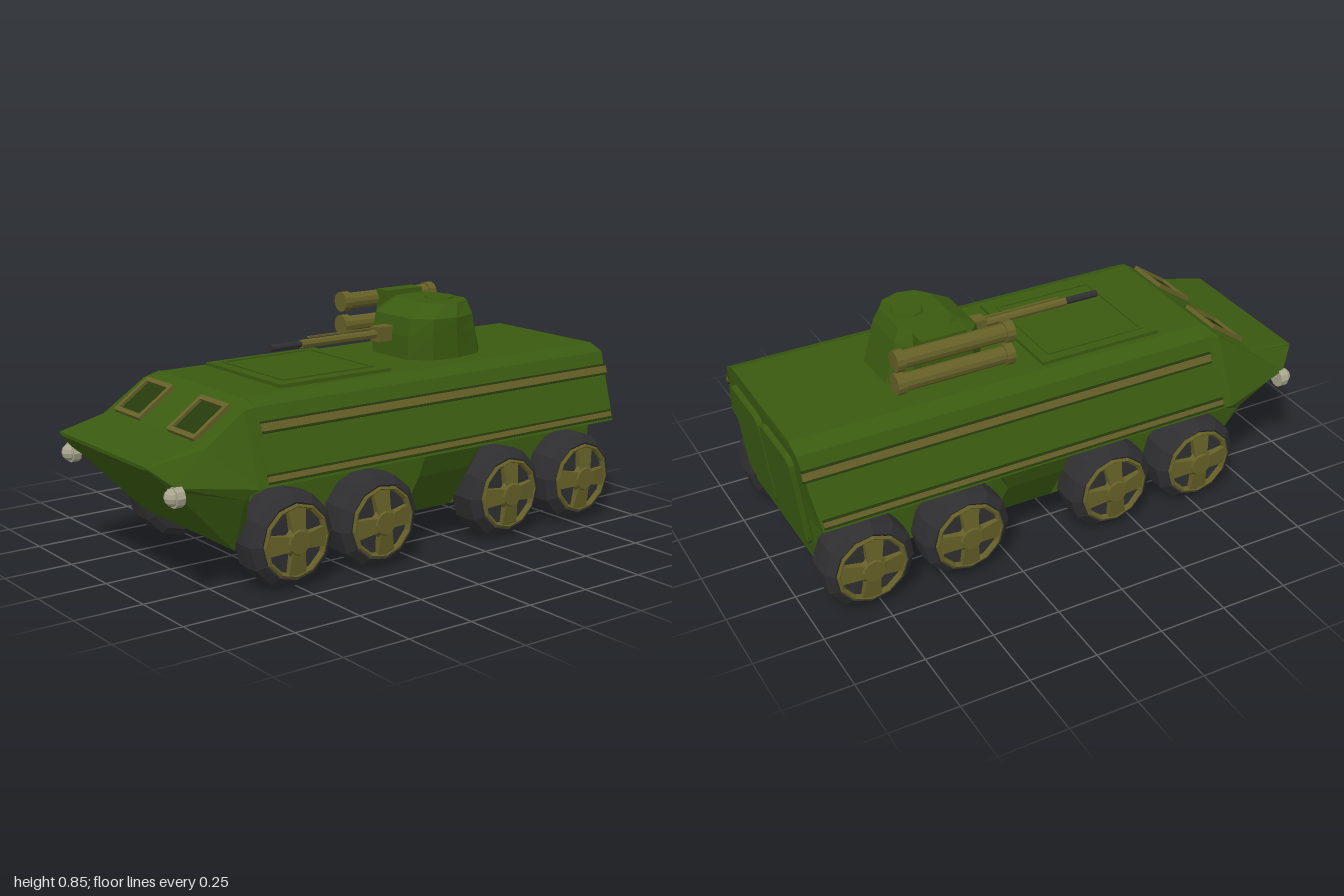
import * as THREE from 'three';

const mat = (color) => new THREE.MeshStandardMaterial({ color, flatShading: true });
const GREEN = mat(0x3a5a10), DARKGREEN = mat(0x263a0c), OLIVE = mat(0x655f27), RUBBER = mat(0x2f2f31), LAMP = mat(0xa9a68e);

function add(parent, name, geo, material, x = 0, y = 0, z = 0) {
  const m = new THREE.Mesh(geo, material);
  m.name = name;
  m.position.set(x, y, z);
  parent.add(m);
  return m;
}

const box = (w, h, d) => new THREE.BoxGeometry(w, h, d);
const tubeX = (r0, r1, len, n = 12) => new THREE.CylinderGeometry(r0, r1, len, n).rotateZ(Math.PI / 2);

// Skin a stack of rings; each ring runs counter-clockwise seen from the end of the stack
function loft(rings) {
  const n = rings[0].length, idx = [];
  for (let i = 0; i < rings.length - 1; i++) {
    for (let j = 0; j < n; j++) {
      const k = (j + 1) % n, a = i * n + j, b = i * n + k;
      idx.push(a, b, b + n, a, b + n, a + n);
    }
  }
  const last = (rings.length - 1) * n;
  for (let j = 1; j < n - 1; j++) {
    idx.push(last, last + j, last + j + 1, 0, j + 1, j);
  }
  const g = new THREE.BufferGeometry();
  g.setAttribute('position', new THREE.Float32BufferAttribute(rings.flat(2), 3));
  g.setIndex(idx);
  const flat = g.toNonIndexed();
  flat.computeVertexNormals();
  return flat;
}

function roundedRect(w, h, r) {
  const s = new THREE.Shape(), x = w / 2, y = h / 2;
  s.moveTo(-x + r, -y).lineTo(x - r, -y).quadraticCurveTo(x, -y, x, -y + r);
  s.lineTo(x, y - r).quadraticCurveTo(x, y, x - r, y);
  s.lineTo(-x + r, y).quadraticCurveTo(-x, y, -x, y - r);
  s.lineTo(-x, -y + r).quadraticCurveTo(-x, -y, -x + r, -y);
  return s;
}

function frameGeometry(w, h, t, depth) {
  const s = roundedRect(w, h, 0.004);
  s.holes.push(roundedRect(w - 2 * t, h - 2 * t, 0.004));
  return new THREE.ExtrudeGeometry(s, { depth, bevelEnabled: false, curveSegments: 2 });
}

// Hull sections from nose to tail: roof, shoulder, widest edge, arch, bottom
function makeHull() {
  const half = [
    [[-1, .465, .29], [-1, .463, .30], [-1, .46, .30], [-1, .455, .29], [-1, .453, .28]],
    [[-.8, .51, .30], [-.8, .50, .325], [-.93, .40, .36], [-.93, .385, .34], [-.93, .38, .28]],
    [[-.62, .635, .27], [-.65, .605, .325], [-.66, .365, .425], [-.70, .33, .40], [-.68, .13, .30]],
    [[-.60, .635, .26], [-.60, .61, .32], [-.62, .365, .425], [-.62, .34, .30], [-.62, .13, .30]],
    [[.98, .635, .26], [.98, .61, .32], [.945, .365, .425], [.945, .34, .30], [.92, .13, .30]],
  ];
  return loft(half.map((h) => [...h, ...h.slice().reverse().map(([x, y, z]) => [x, y, -z])]));
}

function makeWheel() {
  const g = new THREE.Group();
  const profile = [[0, .29], [.14, .29], [.165, .305], [.168, .36], [.165, .405], [.135, .43], [.122, .42], [0, .42]];
  const tire = new THREE.LatheGeometry(profile.map(([r, z]) => new THREE.Vector2(r, z)), 12).rotateX(Math.PI / 2);
  add(g, 'tire', tire, mat(0x2f2f31)).material.side = THREE.DoubleSide;

  // Thin rim and flared four-arm hub
  const rim = new THREE.LatheGeometry(
    [[.122, .415], [.13, .432], [.122, .438], [.113, .432], [.113, .415]].map(([r, z]) => new THREE.Vector2(r, z)), 12
  ).rotateX(Math.PI / 2);
  add(g, 'rim', rim, mat(0x655f27)).material.side = THREE.DoubleSide;
  const cross = new THREE.Shape();
  for (let i = 0; i < 4; i++) {
    const c = Math.cos(i * Math.PI / 2), s = Math.sin(i * Math.PI / 2);
    for (const [x, y] of [[.024, -.024], [.118, -.036], [.118, .036]]) {
      const px = x * c - y * s, py = x * s + y * c;
      if (i === 0 && y === -.024) cross.moveTo(px, py); else cross.lineTo(px, py);
    }
  }
  cross.closePath();
  const hub = new THREE.ExtrudeGeometry(cross, { depth: .035, bevelEnabled: false });
  // Dish the arms so they fall back towards the rim
  const p = hub.attributes.position;
  for (let i = 0; i < p.count; i++) {
    if (p.getZ(i) > .01 && Math.hypot(p.getX(i), p.getY(i)) > .1) p.setZ(i, .02);
  }
  hub.computeVertexNormals();
  add(g, 'hubSpokes', hub, OLIVE, 0, 0, .415);
  add(g, 'hubCap', new THREE.CylinderGeometry(.04, .055, .02, 12).rotateX(Math.PI / 2), OLIVE, 0, 0, .443);
  return g;
}

function makeTurret() {
  const t = new THREE.Group();
  t.name = 'turret';
  const plan = [[.56, .09], [.56, -.09], [.50, -.155], [.26, -.155], [.20, -.10], [.20, .11], [.27, .17], [.38, .185], [.50, .155]];
  const ring = (y, sx, sz, dx) => plan.map(([x, z]) => [.39 + (x - .39) * sx + dx, y, z * sz]);
  add(t, 'turretBody', loft([
    ring(.63, 1, 1, 0), ring(.72, .93, 1, -.012), ring(.785, .84, 1, -.015), ring(.832, .56, .82, .012),
  ]), GREEN);
  add(t, 'turretHatch', new THREE.CylinderGeometry(.055, .06, .012, 8), GREEN, .42, .834, .02);

  // Cannon
  add(t, 'gunMantlet', box(.11, .10, .075), OLIVE, .295, .745, -.01);
  add(t, 'gunCradle', box(.12, .055, .05), OLIVE, .20, .72, -.01);
  add(t, 'gunSleeve', tubeX(.016, .016, .34, 8), OLIVE, -.02, .72, -.01);
  add(t, 'gunBarrel', tubeX(.010, .010, .30, 8), RUBBER, -.17, .72, -.01);
  add(t, 'gunMuzzle', tubeX(.013, .013, .12, 8), RUBBER, -.26, .72, -.01);
  add(t, 'gunRail', box(.36, .006, .008), OLIVE, .02, .742, -.01);

  // Twin launch tubes on the far side
  add(t, 'launcherBracket', box(.17, .175, .065), GREEN, .395, .758, -.187);
  for (const y of [.808, .72]) {
    add(t, 'launchTube', tubeX(.031, .031, .42), OLIVE, .37, y, -.235);
    for (const x of [.167, .573]) add(t, 'launchTubeCollar', tubeX(.038, .038, .032), OLIVE, x, y, -.235);
  }
  return t;
}

export function createModel() {
  const model = new THREE.Group();
  model.name = 'armouredCarrier';
  add(model, 'hull', makeHull(), GREEN);

  const slope = Math.atan2(.105, .245);
  const wheelX = [-.52, -.16, .42, .785];
  for (const s of [1, -1]) {
    // Trim bands on the sloped sides
    for (const [y, x0, x1, w] of [[.545, -.6, .975, .028], [.388, -.62, .94, .02]]) {
      const band = new THREE.Group();
      band.name = 'sideTrim';
      band.position.set((x0 + x1) / 2, y, s * (.425 - (y - .365) * .43));
      band.rotation.x = -s * slope;
      add(band, 'trimBand', box(x1 - x0, w, .014), OLIVE);
      for (const e of [1, -1]) add(band, 'trimRail', box(x1 - x0, .007, .02), DARKGREEN, 0, e * (w / 2 + .003), 0);
      model.add(band);
    }

    // Side panel between the wheel pairs
    const section = (x, d) => [[x - d, .365, s * .423], [x, .285, s * .39], [x, .13, s * .30], [x - d, .365, s * .29]];
    const ends = [section(.03, 0), section(.25, -.035)];
    if (s < 0) ends.forEach((r) => r.reverse());
    add(model, 'middleSidePanel', loft(ends), GREEN);

    // Headlamp
    add(model, 'headlamp', tubeX(.036, .036, .03, 10), LAMP, -.925, .37, s * .35);
    add(model, 'headlampLens', new THREE.SphereGeometry(.03, 10, 6), LAMP, -.938, .37, s * .35);

    wheelX.forEach((x, i) => {
      const wheel = makeWheel();
      wheel.name = 'wheel';
      wheel.position.set(x, .166, 0);
      wheel.rotation.set(0, s > 0 ? 0 : Math.PI, [0, .1, 0, -.08][i]);
      model.add(wheel);
    });

    // Windscreen window
    const win = new THREE.Group();
    win.name = 'window';
    win.position.set(-.73, .561, s * .178);
    win.rotation.z = Math.atan2(.125, .18);
    add(win, 'windowFrame', frameGeometry(.17, .175, .018, .014).rotateX(-Math.PI / 2), OLIVE);
    add(win, 'windowPane', box(.14, .008, .145), DARKGREEN);
    model.add(win);

    // Rear door
    const door = new THREE.ExtrudeGeometry(roundedRect(.262, .36, .04), {
      depth: .012, bevelEnabled: true, bevelSize: .006, bevelThickness: .006, bevelSegments: 1, curveSegments: 4,
    }).rotateY(Math.PI / 2);
    add(model, 'rearDoor', door, GREEN, .953, .39, s * .141).rotation.z = -.127;
  }

  // Axle beams under the floor
  for (const x of wheelX) add(model, 'axleBeam', box(.035, .05, .62), DARKGREEN, x, .13, 0);

  // Raised roof plate
  add(model, 'roofPlate', box(.47, .02, .47), GREEN, -.205, .638, -.005);
  add(model, 'roofPlateRim', frameGeometry(.39, .39, .01, .006).rotateX(-Math.PI / 2), GREEN, -.205, .647, -.01);

  model.add(makeTurret());
  return model;
}
